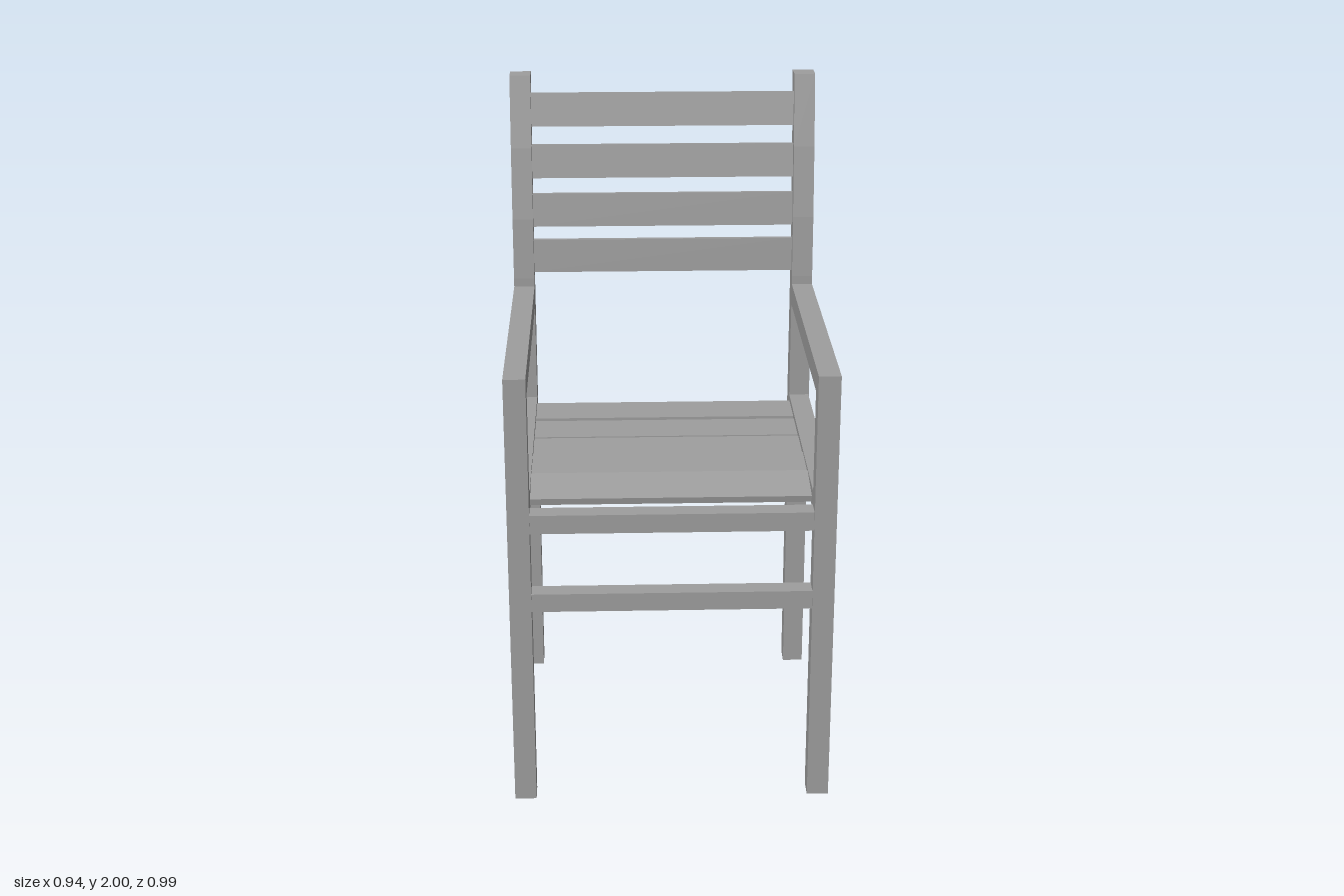
import * as THREE from 'three';

const material = new THREE.MeshStandardMaterial({ color: 0x9e9e9e });
const INNER = 0.408, OUTER = 0.472;

export function createModel() {
  const chair = new THREE.Group();
  chair.name = 'armchair';

  const add = (name, geometry) => {
    const mesh = new THREE.Mesh(geometry, material);
    mesh.name = name;
    chair.add(mesh);
    return mesh;
  };
  // Box given by its limits on each axis
  const bar = (name, [x0, x1], [y0, y1], [z0, z1]) => {
    const mesh = add(name, new THREE.BoxGeometry(x1 - x0, y1 - y0, z1 - z0));
    mesh.position.set((x0 + x1) / 2, (y0 + y1) / 2, (z0 + z1) / 2);
  };
  // Crosswise slat, tilted about x
  const slat = (name, height, depth, y, z, tilt) => {
    const mesh = add(name, new THREE.BoxGeometry(2 * INNER, height, depth));
    mesh.position.set(0, y, z);
    mesh.rotation.x = tilt;
  };

  // Side profile of the back post: straight leg, then a backward curve (z, y)
  const front = [[-0.36, 0], [-0.36, 1.37], [-0.37, 1.56], [-0.395, 1.78], [-0.431, 2]];
  const back = [[-0.497, 2], [-0.457, 1.77], [-0.433, 1.55], [-0.426, 1.37], [-0.426, 0]];
  const profile = new THREE.Shape([...front, ...back].map(([z, y]) => new THREE.Vector2(-z, y)));

  for (const side of [-1, 1]) {
    const label = side > 0 ? 'left' : 'right';
    const span = (a, b) => (side > 0 ? [a, b] : [-b, -a]);
    const post = new THREE.ExtrudeGeometry(profile, { depth: OUTER - INNER, bevelEnabled: false });
    post.rotateY(Math.PI / 2);
    post.translate(side > 0 ? INNER : -OUTER, 0, 0);
    add(label + 'BackPost', post);
    bar(label + 'FrontLeg', span(INNER, OUTER), [0, 1.277], [0.433, 0.497]);
    bar(label + 'Armrest', span(INNER, OUTER), [1.277, 1.343], [-0.36, 0.497]);
    bar(label + 'SeatRail', span(INNER, 0.47), [0.912, 0.969], [-0.36, 0.433]);
  }

  // Front apron and lower stretcher
  bar('frontApron', [-INNER, INNER], [0.87, 0.927], [0.434, 0.491]);
  bar('frontStretcher', [-INNER, INNER], [0.622, 0.678], [0.434, 0.491]);

  // Seat slats: centre y, centre z, tilt
  [
    [0.942, -0.281, 0], [0.941, -0.123, 0], [0.943, 0.032, 0.02],
    [0.949, 0.185, 0.04], [0.943, 0.333, 0.18],
  ].forEach(([y, z, tilt], i) => slat('seatSlat' + (i + 1), 0.02, 0.138, y, z, tilt));

  // Backrest slats follow the curve of the posts
  [
    [1.434, -0.398, -0.06], [1.58, -0.408, -0.1], [1.732, -0.424, -0.14], [1.891, -0.443, -0.17],
  ].forEach(([y, z, tilt], i) => slat('backSlat' + (i + 1), 0.104, 0.02, y, z, tilt));

  return chair;
}
